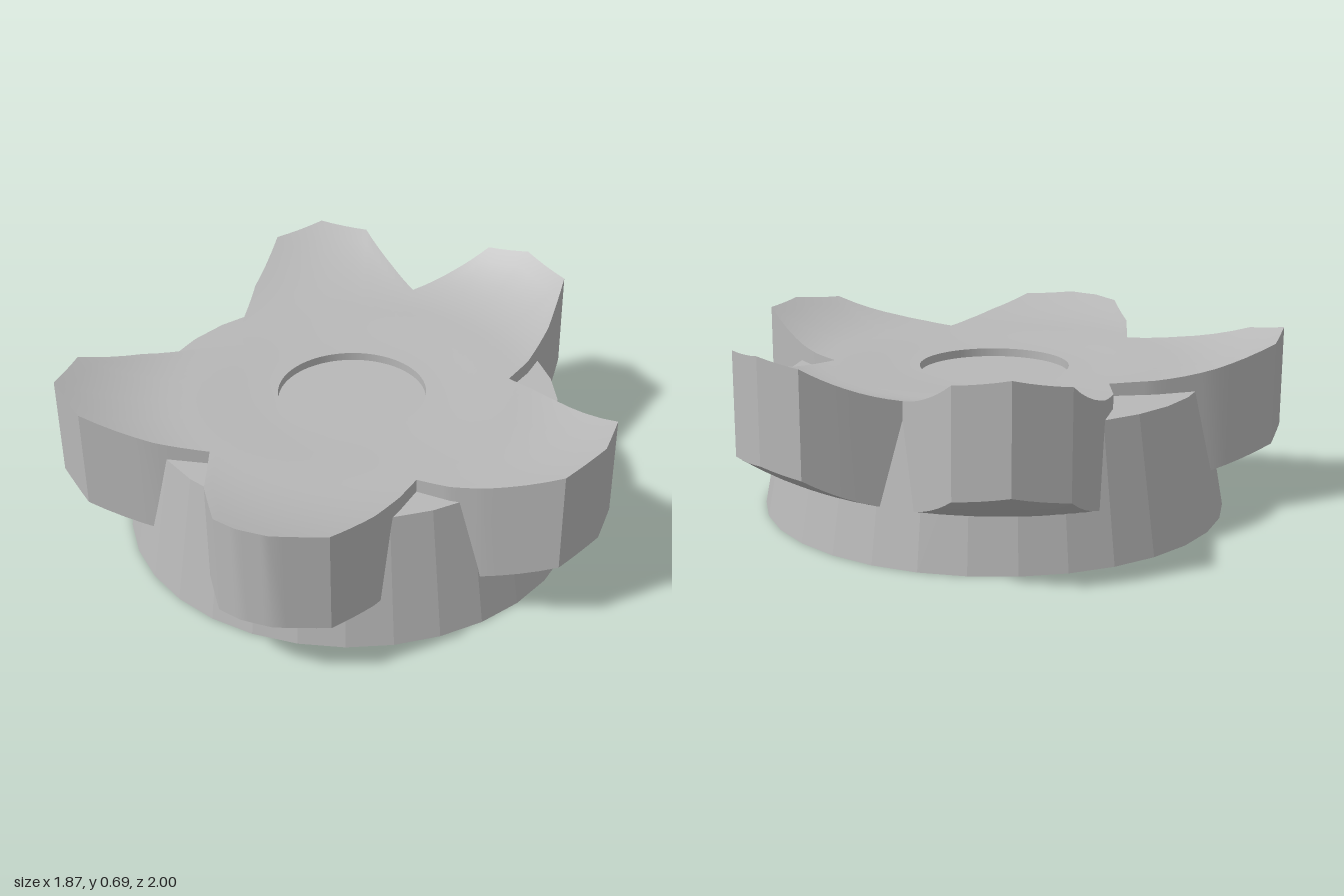
import * as THREE from 'three';
import { toCreasedNormals } from 'three/addons/utils/BufferGeometryUtils.js';

const CX = -0.09, CZ = 0.015; // axis of the base and of the bowl
const HOLE = 0.27, THICK = 0.365, RINGS = 14, SUB = 4;

// Outline of the five arms, from notch to notch, as [x, z]
const arms = [
  [[0.35, -0.36], [0.46, -0.34], [0.57, -0.305], [0.88, -0.18], [0.93, 0], [0.89, 0.2], [0.66, 0.315], [0.55, 0.355]],
  [[0.43, 0.375], [0.445, 0.5], [0.45, 0.65], [0.43, 0.86], [0.28, 0.975], [0.17, 1], [0.07, 0.99], [-0.1, 0.835]],
  [[-0.24, 0.64], [-0.42, 0.725], [-0.68, 0.81], [-0.86, 0.74], [-0.94, 0.54], [-0.84, 0.31], [-0.72, 0.12]],
  [[-0.61, 0], [-0.72, -0.13], [-0.82, -0.34], [-0.89, -0.58], [-0.79, -0.75], [-0.62, -0.83], [-0.45, -0.765]],
  [[-0.3, -0.7], [-0.2, -0.86], [-0.12, -0.98], [0.05, -1], [0.26, -0.92], [0.32, -0.7], [0.35, -0.5]],
];

// Height of the dished top; the rim rises more towards the back
function topHeight(x, z) {
  const dx = x - CX, dz = z - CZ, r = Math.hypot(dx, dz);
  const lift = Math.max(0, r - 0.6) ** 2 * 0.67 * (1 - 0.4 * dz / r - 0.08 * dx / r);
  return 0.5 + 0.018 * THREE.MathUtils.smoothstep(r, HOLE, 0.65) + lift;
}

// Closed skin over rows of points, each row being a closed loop
function loft(rows) {
  const n = rows[0].length, index = [];
  for (let j = 0; j < rows.length - 1; j++) {
    for (let i = 0; i < n; i++) {
      const k = (i + 1) % n;
      const a = j * n + i, b = j * n + k, c = a + n, d = b + n;
      index.push(a, b, c, b, d, c);
    }
  }
  const g = new THREE.BufferGeometry();
  g.setAttribute('position', new THREE.Float32BufferAttribute(rows.flat(2), 3));
  g.setIndex(index);
  return toCreasedNormals(g, 0.45);
}

function starGeometry() {
  const corners = arms.flat();
  const outline = [];
  corners.forEach(([x, z], i) => {
    const [x2, z2] = corners[(i + 1) % corners.length];
    for (let s = 0; s < SUB; s++) {
      const t = s / SUB;
      outline.push([x + (x2 - x) * t, z + (z2 - z) * t]);
    }
  });
  // Ring of points at fraction t between the central hole and the outline
  const ring = (t, drop) => outline.map(([x, z]) => {
    const dx = x - CX, dz = z - CZ, R = Math.hypot(dx, dz);
    const r = HOLE + (R - HOLE) * t;
    const px = CX + dx / R * r, pz = CZ + dz / R * r;
    return [px, topHeight(px, pz) - drop, pz];
  });
  const rows = [];
  for (let j = 0; j <= RINGS; j++) rows.push(ring(j / RINGS, 0));
  for (let j = RINGS; j >= 0; j--) rows.push(ring(j / RINGS, THICK));
  rows.push(ring(0, 0)); // wall of the central hole
  return loft(rows);
}

export function createModel() {
  const model = new THREE.Group();
  model.name = 'starKnob';
  const grey = new THREE.MeshStandardMaterial({ color: 0xb8b8b8 });
  grey.name = 'grey';

  // Faceted tapering base; its top is the floor of the central recess
  const baseGeometry = new THREE.CylinderGeometry(0.75, 0.837, 0.47, 32).toNonIndexed();
  baseGeometry.computeVertexNormals();
  const base = new THREE.Mesh(baseGeometry, grey);
  base.name = 'base';
  base.position.set(CX, 0.235, CZ);
  model.add(base);

  // Five-armed dished top
  const star = new THREE.Mesh(starGeometry(), grey);
  star.name = 'fiveArmedTop';
  model.add(star);

  return model;
}
